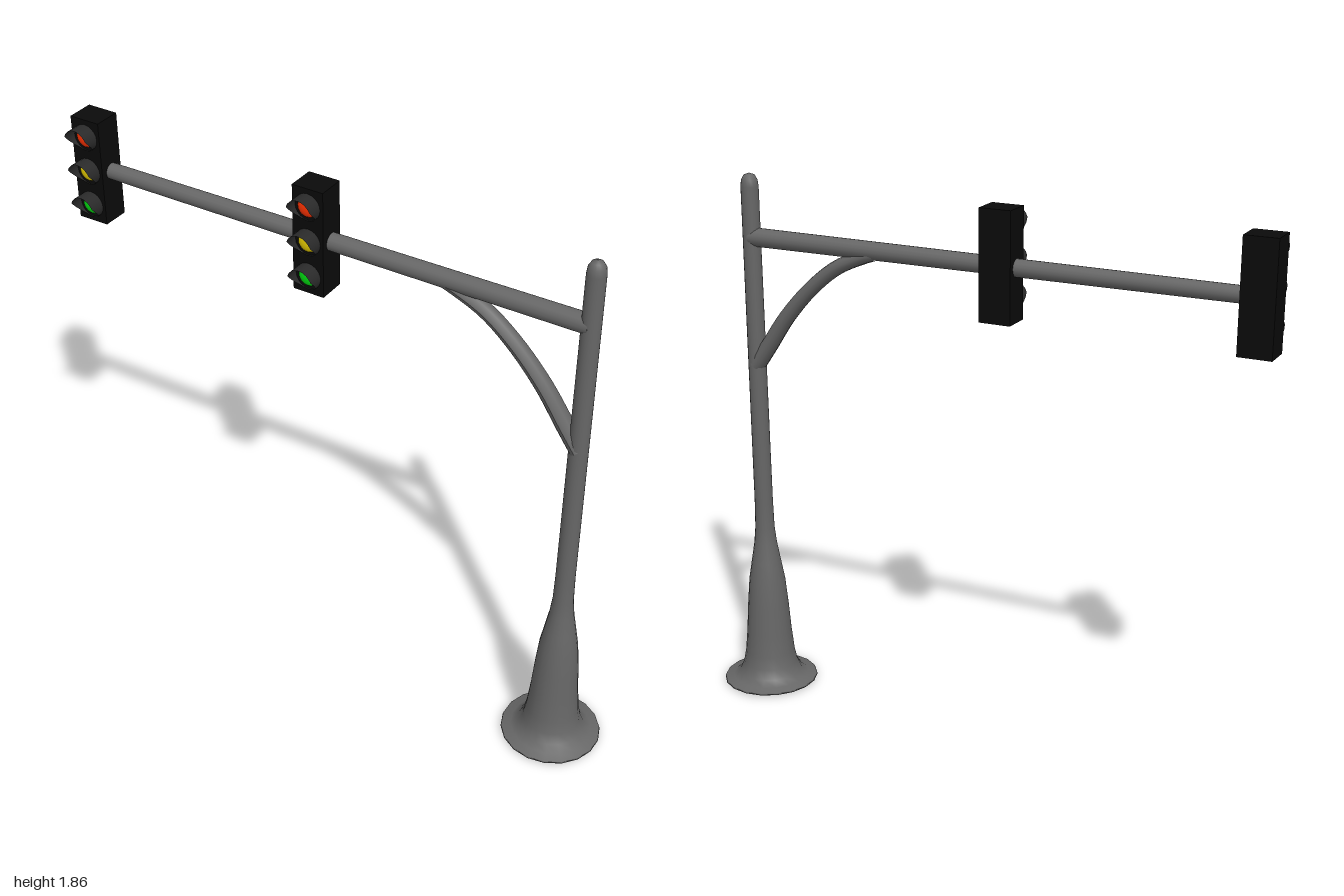
import * as THREE from 'three';

const mat = (color, side = THREE.FrontSide) => new THREE.MeshStandardMaterial({ color, side });
const POLE_X = 0.83;
const ARM_Y = 1.645;
const metal = mat(0x666666);
const black = mat(0x0a0a0a);
const visorMat = mat(0x2a2a2a, THREE.DoubleSide);

function add(parent, name, geometry, material, x = 0, y = 0, z = 0) {
  const mesh = new THREE.Mesh(geometry, material);
  mesh.name = name;
  mesh.position.set(x, y, z);
  parent.add(mesh);
  return mesh;
}

// Open hood, long at the top and cut back obliquely to the housing at the bottom
function visorGeometry(r = 0.045, length = 0.055) {
  const g = new THREE.CylinderGeometry(r, r, 1, 20, 1, true);
  g.rotateX(Math.PI / 2);
  const p = g.attributes.position;
  for (let i = 0; i < p.count; i++) {
    const reach = THREE.MathUtils.clamp((p.getY(i) + r) / (r * 1.35), 0.08, 1);
    p.setZ(i, p.getZ(i) > 0 ? length * reach : -0.003);
  }
  g.computeVertexNormals();
  return g;
}

// Housing with three lenses under hoods
function signalHead(x) {
  const head = new THREE.Group();
  head.name = 'signalHead';
  head.position.set(x, 1.65, 0);
  add(head, 'housing', new THREE.BoxGeometry(0.11, 0.365, 0.095), black, 0, 0, 0.001);
  const visor = visorGeometry();
  const lens = new THREE.SphereGeometry(0.034, 20, 8, 0, Math.PI * 2, 0, Math.PI / 2);
  lens.rotateX(Math.PI / 2);
  lens.scale(1, 1, 0.45);
  [['redLens', 0xff3300], ['yellowLens', 0xe6cc00], ['greenLens', 0x00dd11]].forEach(([name, color], i) => {
    const y = (1 - i) * 0.121;
    add(head, name, lens, mat(color), 0, y, 0.048);
    add(head, 'visor', visor, visorMat, 0, y, 0.048);
  });
  return head;
}

// Curved strut, swept with a slight taper toward the arm
function braceGeometry() {
  const curve = new THREE.CatmullRomCurve3([
    [0.83, 1.20], [0.78, 1.27], [0.70, 1.385], [0.60, 1.495], [0.50, 1.575], [0.41, 1.617], [0.36, 1.635],
  ].map(([x, y]) => new THREE.Vector3(x, y, 0)));
  const rows = 20, sides = 12;
  const g = new THREE.TubeGeometry(curve, rows, 0.029, sides);
  const p = g.attributes.position, v = new THREE.Vector3();
  for (let i = 0; i < p.count; i++) {
    const t = Math.floor(i / (sides + 1)) / rows;
    const c = curve.getPointAt(t);
    v.fromBufferAttribute(p, i).sub(c).multiplyScalar(1 - 0.2 * t);
    v.z *= 1.15;
    v.add(c);
    p.setXYZ(i, v.x, v.y, v.z);
  }
  g.computeVertexNormals();
  return g;
}

export function createModel() {
  const model = new THREE.Group();
  model.name = 'trafficSignal';

  // Flared base running into a slim post with a rounded top
  const profile = [
    [0, 0.005], [0.12, 0.005], [0.168, 0.012], [0.166, 0.018], [0.135, 0.024], [0.112, 0.042], [0.097, 0.075],
    [0.088, 0.12], [0.08, 0.2], [0.073, 0.3], [0.064, 0.4], [0.052, 0.47], [0.04, 0.54], [0.034, 0.6],
    [0.032, 0.7], [0.031, 1.3], [0.03, 1.815], [0.027, 1.838], [0.018, 1.853], [0, 1.86],
  ].map(([r, y]) => new THREE.Vector2(r, y));
  add(model, 'post', new THREE.LatheGeometry(profile, 18), metal, POLE_X);

  // Horizontal arm, tapering toward its free end
  const arm = new THREE.CylinderGeometry(0.027, 0.032, 1.77, 16);
  arm.rotateZ(Math.PI / 2);
  add(model, 'arm', arm, metal, POLE_X - 0.885, ARM_Y);

  add(model, 'brace', braceGeometry(), metal);

  for (const x of [-0.945, -0.097]) model.add(signalHead(x));
  return model;
}
